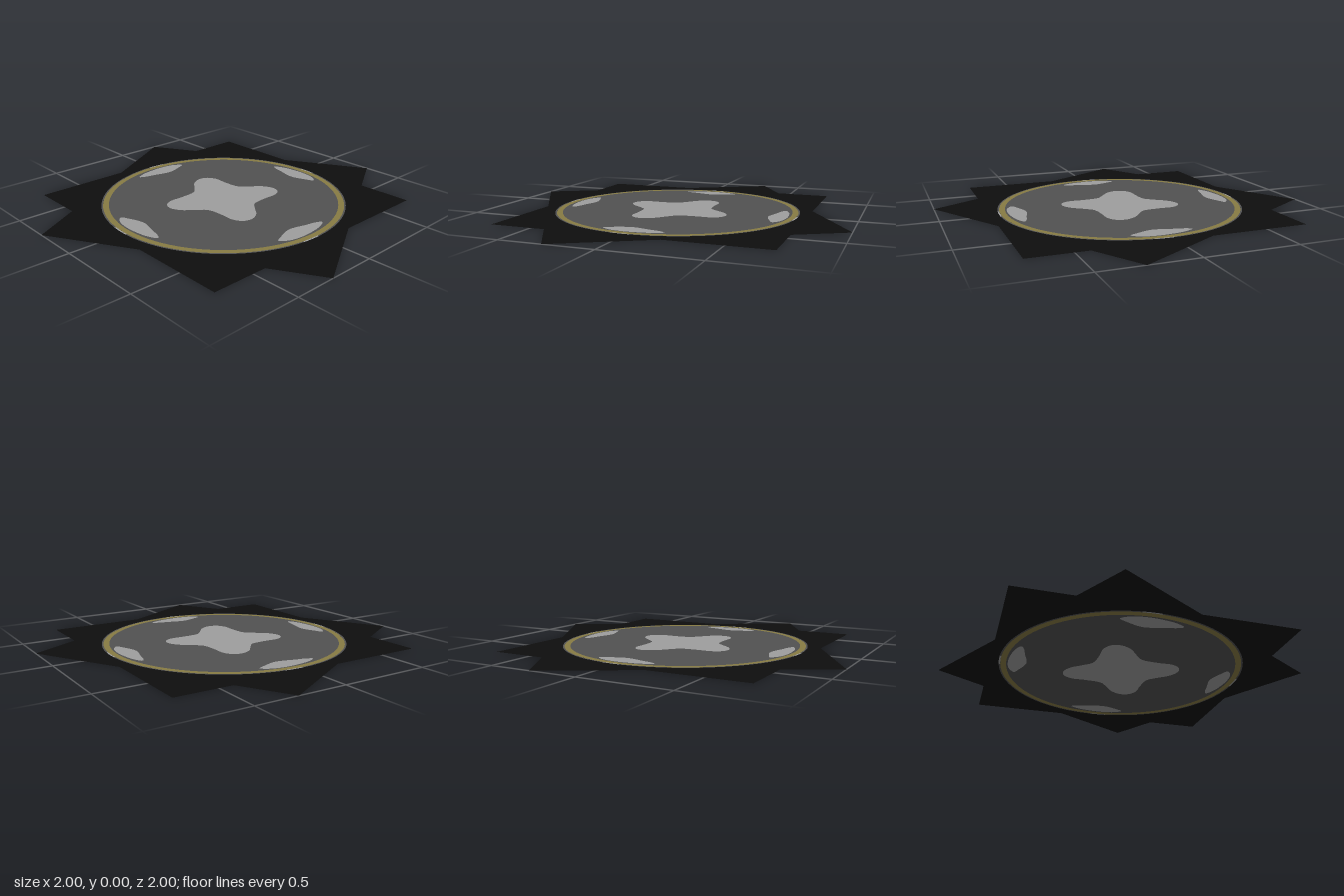
import * as THREE from 'three';

const R_DISC = 0.687, R_GOLD_OUT = 0.678, R_GOLD_IN = 0.646, SEG = 96;

const flat = (color, name) => {
  const m = new THREE.MeshStandardMaterial({ color, side: THREE.DoubleSide });
  m.name = name;
  return m;
};

// Quarter turn about the centre, n times; points are (x, z)
const turn = ([x, z], n) => (n === 0 ? [x, z] : turn([-z, x], n - 1));
const toV = ([x, z]) => new THREE.Vector2(x, -z);
const polar = (deg, r) => {
  const a = THREE.MathUtils.degToRad(deg);
  return [r * Math.cos(a), r * Math.sin(a)];
};

// Smooth closed outline through a few points
function smoothLoop(points, samples) {
  const curve = new THREE.CatmullRomCurve3(
    points.map(([x, z]) => new THREE.Vector3(x, -z, 0)), true, 'centripetal');
  return curve.getPoints(samples).slice(0, -1).map(p => new THREE.Vector2(p.x, p.y));
}

const circle = r => Array.from({ length: SEG }, (_, i) => toV(polar(i * 360 / SEG, r)));

export function createModel() {
  const group = new THREE.Group();
  const black = flat(0x0e0e0e, 'black cloth');
  const dark = flat(0x525252, 'dark grey');
  const light = flat(0x9e9e9e, 'light grey');
  const gold = flat(0x887c44, 'dull gold');

  const add = (name, geometry, material) => {
    geometry.rotateX(-Math.PI / 2);
    const mesh = new THREE.Mesh(geometry, material);
    mesh.name = name;
    group.add(mesh);
  };
  const sheet = (outline, holes = []) => {
    const shape = new THREE.Shape(outline);
    holes.forEach(h => shape.holes.push(new THREE.Path(h)));
    return new THREE.ShapeGeometry(shape);
  };

  // Eight-pointed sheet: the union of two squares 30 degrees apart
  const half = 0.732, star = [];
  for (let q = 0; q < 4; q++) {
    const corner = half * Math.SQRT2;
    const notch = deg => half / Math.cos(THREE.MathUtils.degToRad(deg));
    [[-15, notch(15)], [15, corner], [30, notch(30)], [45, corner]]
      .forEach(([deg, r]) => star.push(toV(polar(deg + 90 * q, r))));
  }
  add('starSheet', sheet(star, [circle(R_DISC)]), black);

  // Four-lobed centre patch, one lobe repeated by quarter turns
  const lobe = [[0.18, -0.07], [0.22, -0.03], [0.29, 0.03], [0.315, 0.09],
    [0.30, 0.14], [0.25, 0.168], [0.17, 0.168]];
  const centre = smoothLoop([0, 1, 2, 3].flatMap(q => lobe.map(p => turn(p, q))), 140);
  add('centrePatch', sheet(centre), light);

  // Lens-shaped patches near the edge
  const lens = [[0.59, -0.158], [0.617, -0.11], [0.632, -0.03], [0.635, 0.05],
    [0.62, 0.13], [0.585, 0.174], [0.562, 0.13], [0.537, 0.06], [0.535, 0.02],
    [0.558, -0.07], [0.572, -0.13]];
  const lenses = [0, 1, 2, 3].map(q => smoothLoop(lens.map(p => turn(p, q)), 60));
  lenses.forEach((l, i) => add('edgePatch' + (i + 1), sheet(l), light));

  // Disc face with openings for the patches
  add('discFace', sheet(circle(R_GOLD_IN), [centre, ...lenses]), dark);

  // Gold band
  add('goldBand', new THREE.RingGeometry(R_GOLD_IN, R_GOLD_OUT, SEG), gold);

  // Thin outer rim: a short light arc then a long dark arc in each quarter
  const start = -0.13, span = 0.15;
  for (let q = 0; q < 4; q++) {
    const a = start + q * Math.PI / 2;
    add('rimLight' + (q + 1),
      new THREE.RingGeometry(R_GOLD_OUT, R_DISC, 4, 1, a, span), light);
    add('rimDark' + (q + 1),
      new THREE.RingGeometry(R_GOLD_OUT, R_DISC, 20, 1, a + span, Math.PI / 2 - span), dark);
  }
  return group;
}
